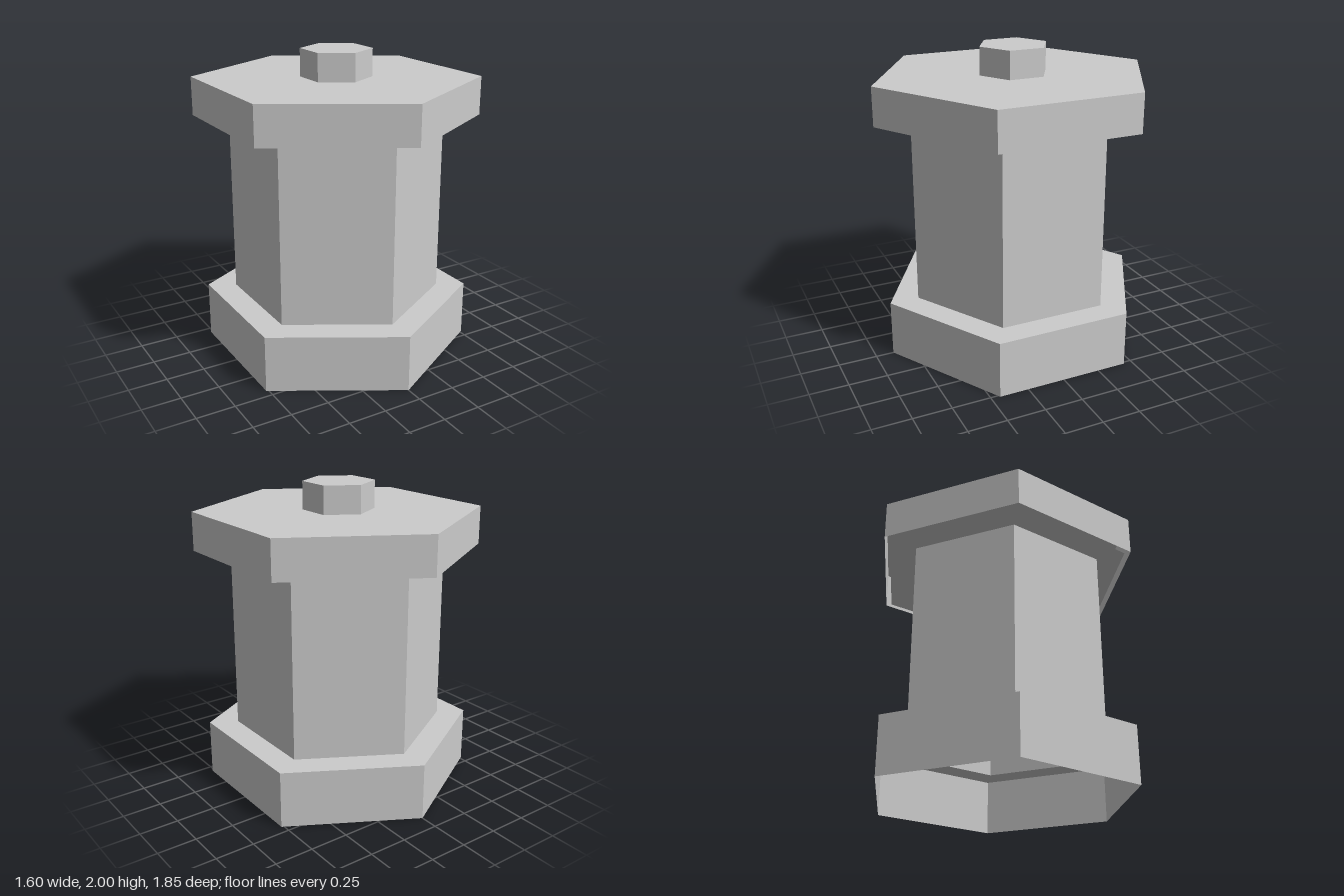
import * as THREE from 'three';

const grey = new THREE.MeshStandardMaterial({ color: 0xcccccc, side: THREE.DoubleSide });
grey.name = 'plain grey';

// Thin six-sided shell turned from a profile of [radius, height], listed upwards
function hexShell(name, profile) {
  const points = profile.map(([r, y]) => new THREE.Vector2(r, y));
  const geometry = new THREE.LatheGeometry(points, 6).toNonIndexed();
  geometry.computeVertexNormals(); // flat facets
  const mesh = new THREE.Mesh(geometry, grey);
  mesh.name = name;
  return mesh;
}

export function createModel() {
  const model = new THREE.Group();
  model.name = 'hexagonalJar';

  const knobR = 0.23, lidR = 0.926, columnR = 0.693, footR = 0.884;
  const footTop = 0.37, lidBottom = 1.57, lidTop = 1.82, top = 2;

  model.add(
    // Open-bottomed foot with a ledge running in to the column
    hexShell('foot', [[footR, 0], [footR, footTop], [columnR, footTop]]),
    // Hollow column
    hexShell('column', [[columnR, footTop], [columnR, lidBottom]]),
    // Flat flange just inside the lid
    hexShell('flange', [[columnR, lidBottom], [footR, lidBottom]]),
    // Lid skirt and top, open underneath
    hexShell('lid', [[lidR, lidBottom], [lidR, lidTop], [knobR, lidTop]]),
    // Hollow knob
    hexShell('knob', [[knobR, lidTop], [knobR, top], [0, top]]),
  );
  return model;
}
